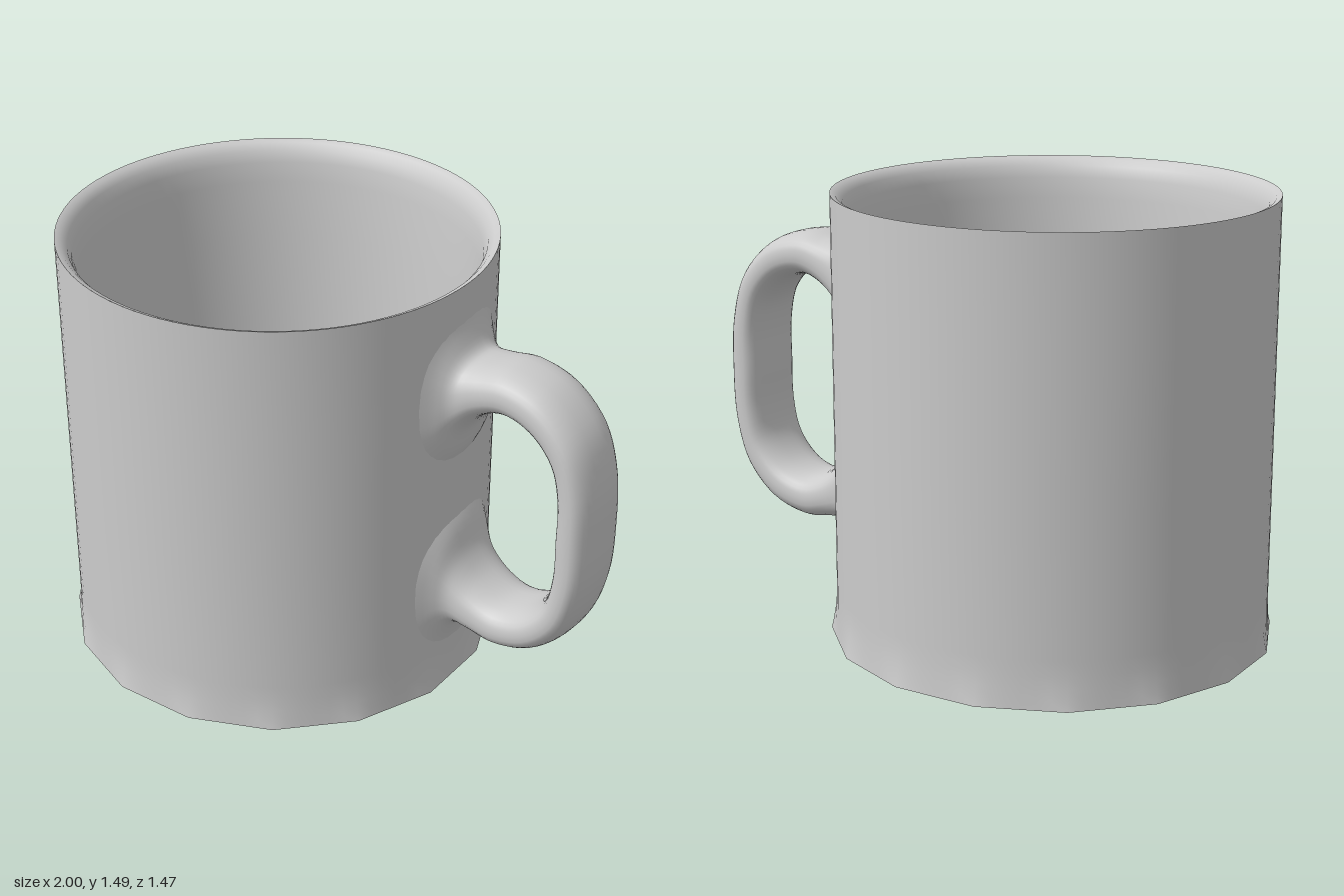
import * as THREE from 'three';
import { mergeVertices } from 'three/addons/utils/BufferGeometryUtils.js';

const CX = -0.265, R = 0.725, H = 1.49;   // body axis, radius, height
const HANDLE_Z = -0.05, MID_Y = 0.76;     // handle centre
const FACET = Math.PI / 8, START = THREE.MathUtils.degToRad(13.5);
const BASE_R = 0.745;

const lathe = (pts, start = 0) =>
  new THREE.LatheGeometry(pts.map(([r, y]) => new THREE.Vector2(r, y)), 96, start);

// Drop seams so that the normals run smoothly all the way round
function smooth(geo) {
  geo.deleteAttribute('uv');
  geo.deleteAttribute('normal');
  const merged = mergeVertices(geo, 1e-4);
  merged.computeVertexNormals();
  return merged;
}

// Round wall whose foot flares out into a 16-sided outline
function wallGeometry() {
  const geo = lathe([0, 0.03, 0.07, 0.11, 0.16, 0.6, 1.1, H].map((y) => [R, y]), START);
  const p = geo.attributes.position;
  for (let i = 0; i < p.count; i++) {
    const y = p.getY(i), phi = Math.atan2(p.getX(i), p.getZ(i)) - START + 1e-6;
    const a = THREE.MathUtils.euclideanModulo(phi, FACET) - FACET / 2;
    const facetR = BASE_R * Math.cos(FACET / 2) / Math.cos(a);
    const k = Math.max(0, 1 - y / 0.16) ** 2;
    const s = THREE.MathUtils.lerp(R, facetR, k) / R;
    p.setXYZ(i, p.getX(i) * s, y, p.getZ(i) * s);
  }
  return smooth(geo);
}

// Handle: rounded sections strung between an outer and an inner curve
function handleGeometry() {
  // upper half, wall to middle: outer x, outer y, inner x, inner y, half width
  const rows = [
    [0.44, 1.44, 0.44, 0.84, 0.27],
    [0.47, 1.33, 0.475, 0.91, 0.19],
    [0.51, 1.263, 0.51, 1.01, 0.15],
    [0.57, 1.262, 0.57, 1.08, 0.137],
    [0.67, 1.274, 0.67, 1.12, 0.133],
    [0.81, 1.235, 0.77, 1.092, 0.133],
    [0.93, 1.12, 0.845, 1.01, 0.133],
    [0.988, 0.95, 0.87, 0.90, 0.133],
    [1.0, 0.76, 0.87, 0.76, 0.133],
  ];
  const mirrored = rows.slice(0, -1).reverse()
    .map(([ox, oy, ix, iy, w]) => [ox, 2 * MID_Y - oy, ix, 2 * MID_Y - iy, w]);
  const all = [...rows, ...mirrored];
  const outer = new THREE.CatmullRomCurve3(all.map((r) => new THREE.Vector3(r[0], r[1], r[4])));
  const inner = new THREE.CatmullRomCurve3(all.map((r) => new THREE.Vector3(r[2], r[3], r[4])));

  const N = 80, M = 32, pos = [], idx = [];
  const rounded = (v) => Math.sign(v) * Math.abs(v) ** 0.8;
  for (let i = 0; i <= N; i++) {
    const o = outer.getPoint(i / N), n = inner.getPoint(i / N);
    const mid = o.clone().add(n).multiplyScalar(0.5);
    const half = o.clone().sub(n).multiplyScalar(0.5);
    // the ends wrap around the curved wall
    const wrap = THREE.MathUtils.clamp((0.56 - mid.x) / 0.12, 0, 1);
    for (let j = 0; j < M; j++) {
      const a = j / M * Math.PI * 2, c = rounded(Math.cos(a));
      const z = HANDLE_Z + o.z * rounded(Math.sin(a));
      const bend = Math.sqrt(R * R - z * z) - R;
      pos.push(mid.x + half.x * c + wrap * bend, mid.y + half.y * c, z);
      if (i === N) continue;
      const p = i * M + j, q = i * M + (j + 1) % M;
      idx.push(p, q, p + M, q, q + M, p + M);
    }
  }
  const geo = new THREE.BufferGeometry();
  geo.setAttribute('position', new THREE.Float32BufferAttribute(pos, 3));
  geo.setIndex(idx);
  geo.computeVertexNormals();
  return geo;
}

export function createModel() {
  const group = new THREE.Group();
  group.name = 'mug';
  const material = new THREE.MeshStandardMaterial({ color: 0xcccccc });
  const add = (name, geo, x = CX, y = 0) => {
    const mesh = new THREE.Mesh(geo, material);
    mesh.name = name;
    mesh.position.set(x, y, 0);
    group.add(mesh);
  };

  add('outerWall', wallGeometry());

  // Sloping rounded lip running into the gently tapered inside
  add('innerWall', lathe([
    [R, H], [0.705, 1.482], [0.685, 1.46], [0.672, 1.42], [0.664, 1.35],
    [0.65, 1.15], [0.637, 0.85], [0.627, 0.5], [0.62, 0.1],
  ]));
  add('innerFloor', new THREE.CircleGeometry(0.62, 96).rotateX(-Math.PI / 2), CX, 0.1);

  // Flat 16-sided underside
  add('base', new THREE.CircleGeometry(BASE_R, 16, THREE.MathUtils.degToRad(9)).rotateX(Math.PI / 2));

  add('handle', handleGeometry(), 0);
  return group;
}
